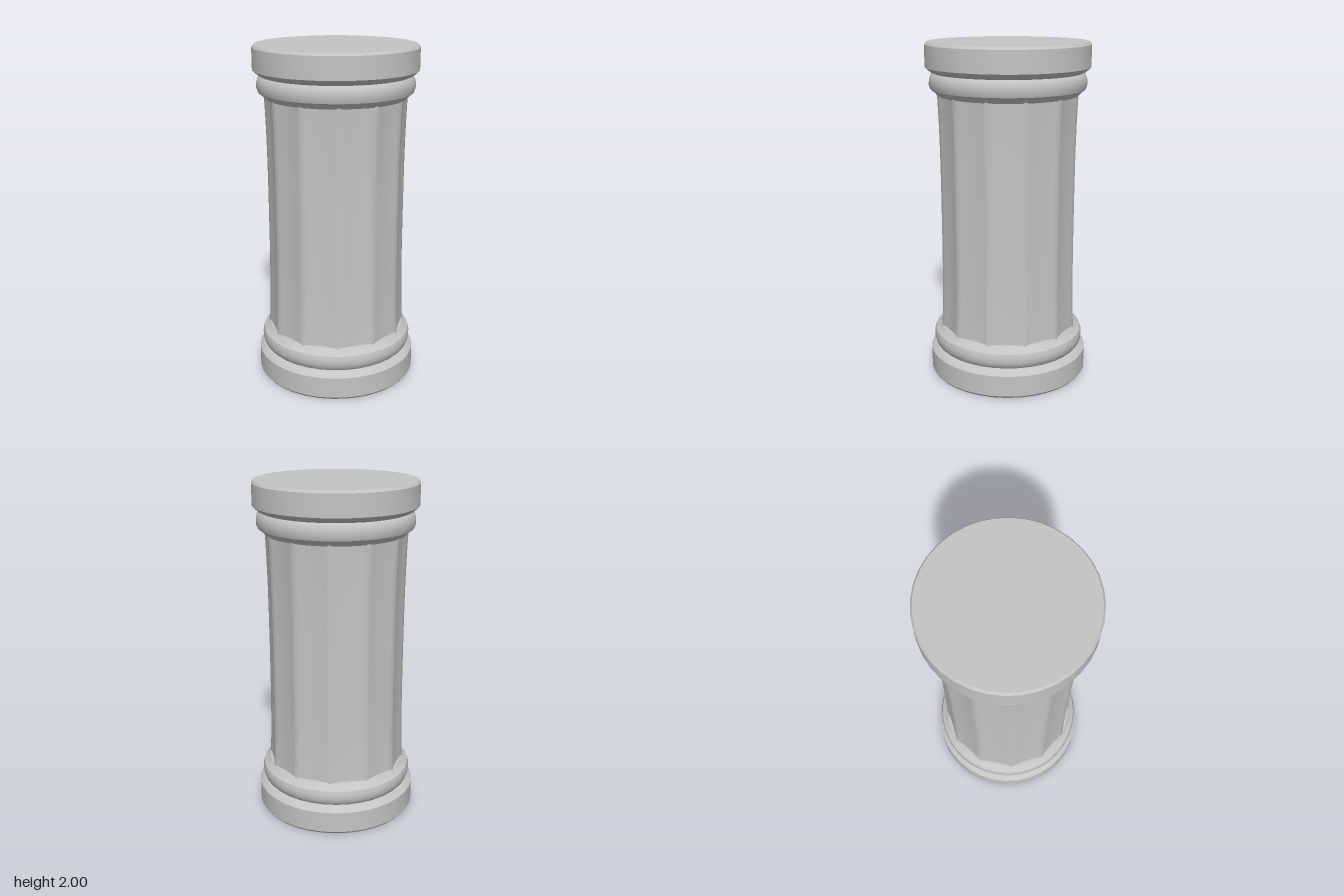
import * as THREE from 'three';
import { toCreasedNormals } from 'three/addons/utils/BufferGeometryUtils.js';

const FLUTES = 12;

// Turned ring from [radius, height] pairs; flip mirrors it to the top of the column
function turned(name, profile, material, flip) {
  const pts = profile.map(([r, y]) => new THREE.Vector2(r, flip ? 2 - y : y));
  if (flip) pts.reverse();
  const geo = toCreasedNormals(new THREE.LatheGeometry(pts, 36), 0.55);
  const mesh = new THREE.Mesh(geo, material);
  mesh.name = name;
  return mesh;
}

// Shaft with twelve shallow flutes, flaring slightly towards both ends
function shaftGeometry() {
  const geo = new THREE.CylinderGeometry(1, 1, 1.46, FLUTES * 8, 16, true);
  const pos = geo.attributes.position;
  const step = (Math.PI * 2) / FLUTES;
  for (let i = 0; i < pos.count; i++) {
    const y = pos.getY(i);
    const angle = Math.atan2(pos.getX(i), pos.getZ(i));
    const a = angle - Math.round(angle / step) * step;
    const t = a / (step / 2);
    const ridge = 0.403 + 0.011 * Math.pow(Math.abs(y) / 0.7, 3);
    const r = (ridge * Math.cos(step / 2)) / Math.cos(a) - 0.006 * (1 - t * t);
    pos.setXYZ(i, Math.sin(angle) * r, y + 1, Math.cos(angle) * r);
  }
  geo.computeVertexNormals();
  return geo;
}

export function createModel() {
  const group = new THREE.Group();
  group.name = 'column';
  const stone = new THREE.MeshStandardMaterial({ color: 0xc4c4c4 });
  stone.name = 'grey stone';

  const shaft = new THREE.Mesh(shaftGeometry(), stone);
  shaft.name = 'flutedShaft';
  group.add(shaft);

  // Drum with chamfered edges, and the rounded ring next to it
  const drum = [[0, 0], [0.466, 0], [0.477, 0.014], [0.477, 0.14], [0.45, 0.165], [0.435, 0.172], [0.3, 0.172]];
  const ring = [[0.3, 0.172], [0.435, 0.172], [0.447, 0.185], [0.455, 0.21], [0.456, 0.24], [0.448, 0.265],
    [0.425, 0.282], [0.41, 0.3], [0.36, 0.305]];
  for (const [side, flip] of [['base', false], ['top', true]]) {
    group.add(turned(side + 'Drum', drum, stone, flip));
    group.add(turned(side + 'Ring', ring, stone, flip));
  }
  return group;
}
